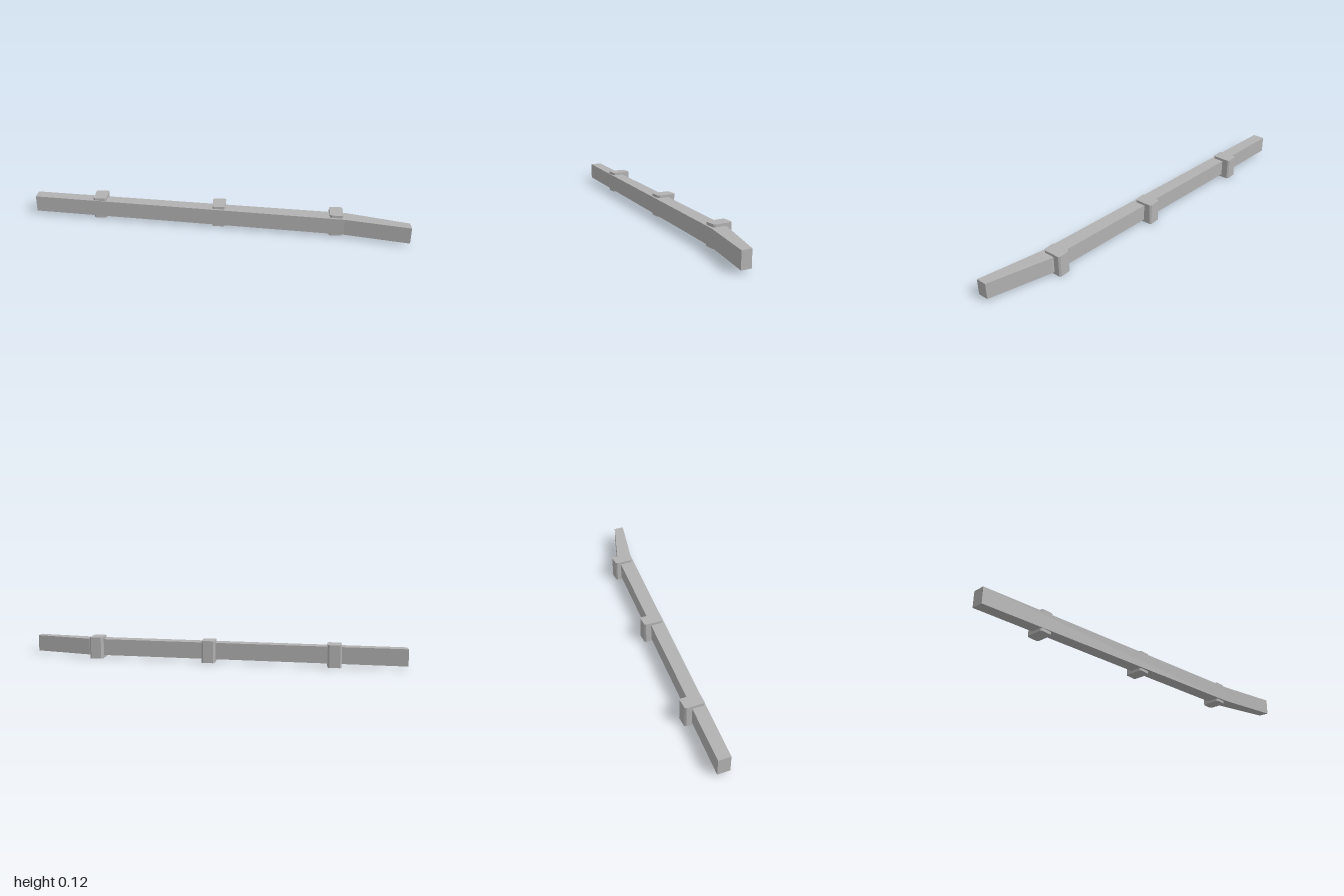
import * as THREE from 'three';

const grey = new THREE.MeshStandardMaterial({ color: 0xb2b2b2 });
grey.name = 'grey';

// Upright prism from an x/z outline, between two heights
function prism(name, outline, bottom, top) {
  const shape = new THREE.Shape(outline.map(([x, z]) => new THREE.Vector2(x, z)));
  const geometry = new THREE.ExtrudeGeometry(shape, { depth: top - bottom, bevelEnabled: false });
  geometry.rotateX(Math.PI / 2).translate(0, top, 0);
  const mesh = new THREE.Mesh(geometry, grey);
  mesh.name = name;
  return mesh;
}

export function createModel() {
  const model = new THREE.Group();
  model.name = 'trimBar';

  // Long bar, bent and tapered towards its left end
  model.add(prism('bar', [
    [-1, -0.155], [0.68, 0.006], [1, 0.105],
    [1, 0.16], [0.67, 0.085], [-1, -0.091],
  ], 0.015, 0.102));

  // Clips around the back of the bar, with cut upright corners
  const w = 0.035, d = 0.051, c = 0.008;
  const clips = [['rightClip', -0.637, -0.109], ['middleClip', 0.014, -0.047], ['leftClip', 0.631, 0.018]];
  for (const [name, x, z] of clips) {
    const clip = prism(name, [
      [-w + c, -d], [w - c, -d], [w, -d + c], [w, d - c],
      [w - c, d], [-w + c, d], [-w, d - c], [-w, -d + c],
    ], 0, 0.116);
    clip.position.set(x, 0, z);
    model.add(clip);
  }
  return model;
}
